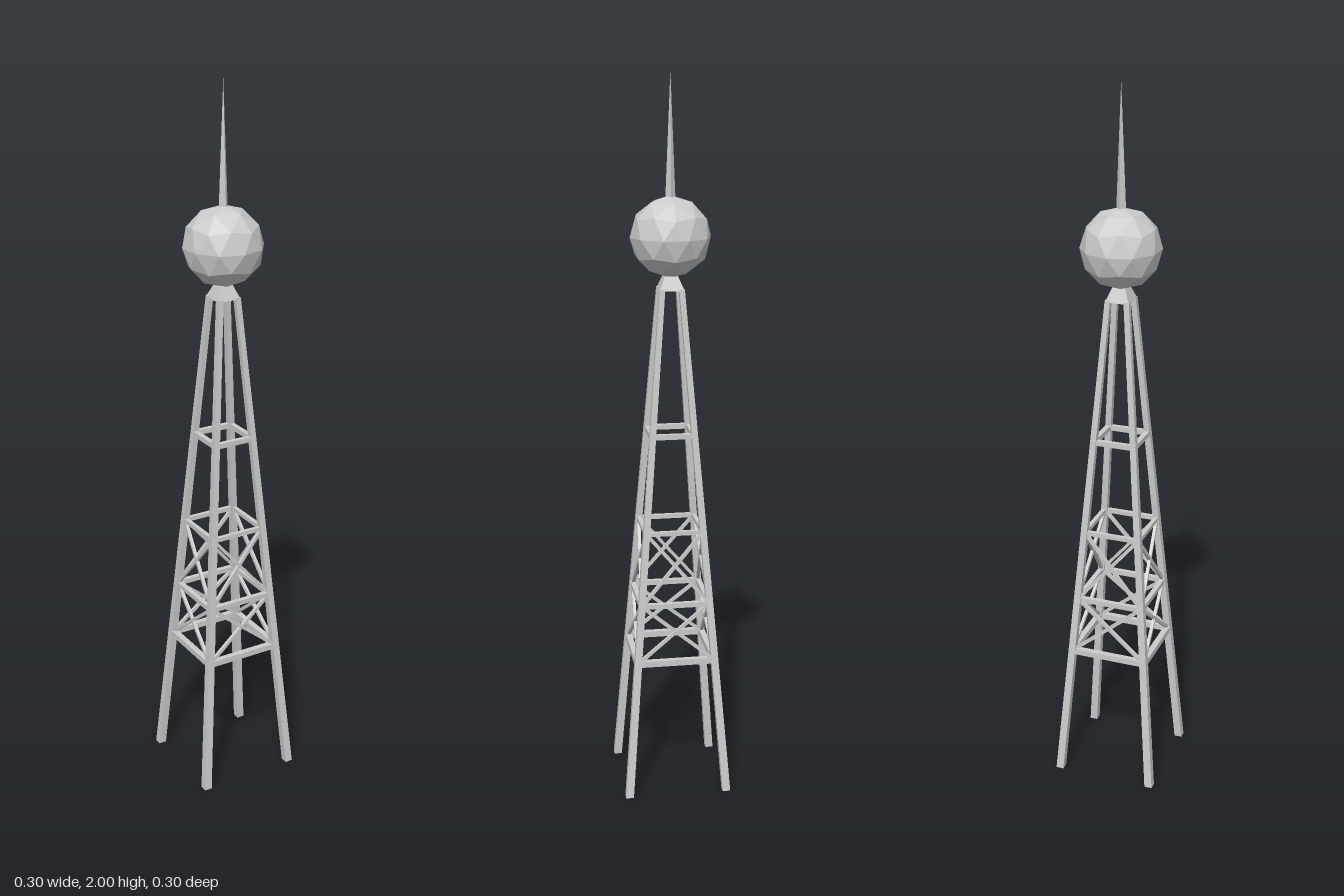
import * as THREE from 'three';

const LEG_TOP = 1.43;
const material = new THREE.MeshStandardMaterial({ color: 0xcccccc, flatShading: true });
const openMaterial = new THREE.MeshStandardMaterial({ color: 0xcccccc, flatShading: true, side: THREE.DoubleSide });

// Distance of a leg's centre line from the tower axis, along x and z, at height y
const legOffset = (y) => THREE.MathUtils.lerp(0.139, 0.0265, y / LEG_TOP);

function addMesh(parent, name, geometry, mat = material) {
  const mesh = new THREE.Mesh(geometry, mat);
  mesh.name = name;
  parent.add(mesh);
  return mesh;
}

// Square bar running between two points
function addBar(parent, name, a, b, size) {
  const bar = addMesh(parent, name, new THREE.BoxGeometry(size, size, a.distanceTo(b)));
  bar.position.copy(a).add(b).multiplyScalar(0.5);
  bar.lookAt(b);
}

// Leaning leg: an upright box whose cross-section shifts inward and narrows with height
function legGeometry(sx, sz) {
  const geometry = new THREE.BoxGeometry(1, LEG_TOP, 1);
  geometry.translate(0, LEG_TOP / 2, 0);
  const p = geometry.attributes.position;
  for (let i = 0; i < p.count; i++) {
    const y = p.getY(i);
    const width = THREE.MathUtils.lerp(0.022, 0.015, y / LEG_TOP);
    p.setX(i, p.getX(i) * width + sx * legOffset(y));
    p.setZ(i, p.getZ(i) * width + sz * legOffset(y));
  }
  geometry.computeVertexNormals();
  return geometry;
}

export function createModel() {
  const tower = new THREE.Group();
  tower.name = 'tower';

  for (const sx of [-1, 1]) {
    for (const sz of [-1, 1]) addMesh(tower, 'leg', legGeometry(sx, sz));
  }

  // Horizontal rings and crossed braces, repeated on the four faces
  const levels = [[0.39, 0.017], [0.555, 0.014], [0.76, 0.012], [1.03, 0.014]];
  const corner = (side, y) => new THREE.Vector3(side * legOffset(y), y, legOffset(y));
  for (let i = 0; i < 4; i++) {
    const face = new THREE.Group();
    face.name = 'latticeFace';
    for (const [y, size] of levels) {
      addBar(face, 'ringBeam', corner(-1, y), corner(1, y), size);
    }
    for (let k = 0; k < 2; k++) {
      const low = levels[k][0], high = levels[k + 1][0];
      for (const side of [-1, 1]) {
        addBar(face, 'crossBrace', corner(side, low), corner(-side, high), 0.009);
      }
    }
    // Turned only once its bars are aimed
    face.rotation.y = i * Math.PI / 2;
    tower.add(face);
  }

  // Square tapering collar under the ball, open below
  const collar = addMesh(tower, 'collar',
    new THREE.CylinderGeometry(0.016 * Math.SQRT2, 0.034 * Math.SQRT2, 0.043, 4, 1, true), openMaterial);
  collar.rotation.y = Math.PI / 4;
  collar.position.y = 1.4465;

  // Faceted ball with a vertex at each pole
  const ball = new THREE.IcosahedronGeometry(0.11, 1);
  ball.rotateX(-Math.atan((1 + Math.sqrt(5)) / 2));
  ball.rotateY(Math.PI / 2);
  addMesh(tower, 'ball', ball).position.y = 1.567;

  // Four-sided spire
  addMesh(tower, 'spire', new THREE.ConeGeometry(0.014, 0.34, 4)).position.y = 1.83;

  return tower;
}
